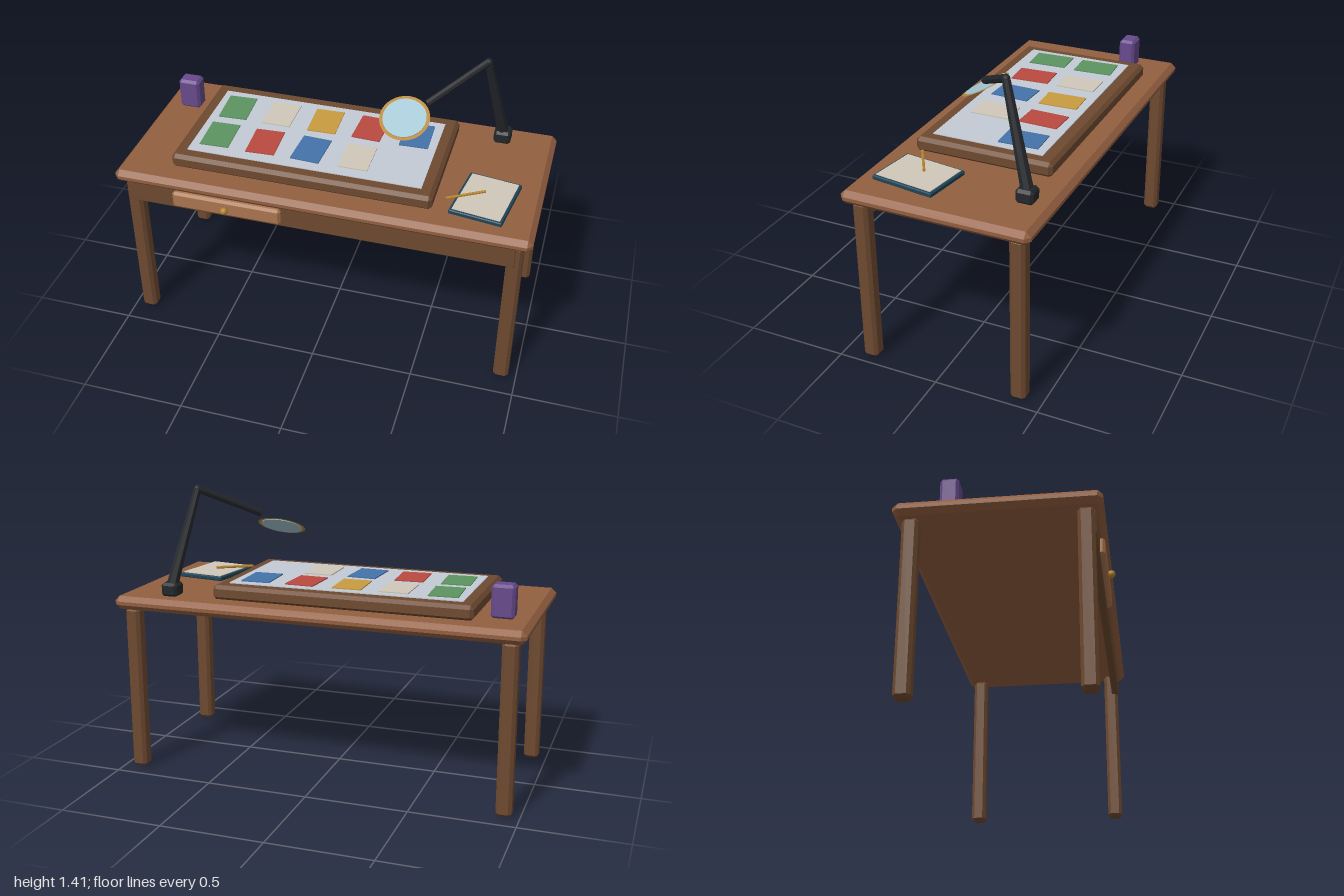
import * as THREE from 'three';
import { ConvexGeometry } from 'three/addons/geometries/ConvexGeometry.js';

const paint = (color, extra = {}) => new THREE.MeshStandardMaterial({ color, ...extra });
const wood = paint(0x935f40), darkWood = paint(0x6e4a30), drawerWood = paint(0xa9754f);
const brass = paint(0xb8862f), black = paint(0x24272b), cream = paint(0xd0c8b8);
const cardPaint = { g: paint(0x5c9460), c: cream, y: paint(0xc99b3f), r: paint(0xbb4a40), b: paint(0x4473ab) };

// Box with all edges chamfered, given by its min and max corners
function chamferBox(min, max, c) {
  const mid = min.map((v, i) => (v + max[i]) / 2);
  const half = min.map((v, i) => (max[i] - v) / 2);
  const points = [];
  for (const sx of [-1, 1]) for (const sy of [-1, 1]) for (const sz of [-1, 1]) {
    const s = [sx, sy, sz];
    for (let full = 0; full < 3; full++) {
      points.push(new THREE.Vector3(...s.map((k, i) => mid[i] + k * (half[i] - (i === full ? 0 : c)))));
    }
  }
  return new ConvexGeometry(points);
}

// Tapered faceted rod between two points
function rod(a, b, r0, r1, sides) {
  const from = new THREE.Vector3(...a), to = new THREE.Vector3(...b);
  const dir = to.clone().sub(from);
  const g = new THREE.CylinderGeometry(r1, r0, dir.length(), sides).toNonIndexed();
  g.computeVertexNormals();
  g.applyQuaternion(new THREE.Quaternion().setFromUnitVectors(new THREE.Vector3(0, 1, 0), dir.normalize()));
  const m = from.add(to).multiplyScalar(0.5);
  return g.translate(m.x, m.y, m.z);
}

export function createModel() {
  const model = new THREE.Group();
  model.name = 'craftDesk';
  const add = (name, geometry, material, parent = model) => {
    const mesh = new THREE.Mesh(geometry, material);
    mesh.name = name;
    parent.add(mesh);
    return mesh;
  };

  // Table
  add('tableTop', chamferBox([-1, 0.82, -0.46], [1, 0.885, 0.44], 0.024), wood);
  for (const x of [-0.925, 0.925]) {
    for (const z of [-0.385, 0.365]) {
      add(`${z > 0 ? 'front' : 'back'}${x > 0 ? 'Left' : 'Right'}Leg`,
        chamferBox([x - 0.037, 0, z - 0.037], [x + 0.037, 0.822, z + 0.037], 0.015), darkWood);
    }
  }
  add('frontApron', chamferBox([-0.93, 0.705, 0.37], [0.93, 0.822, 0.407], 0.006), darkWood);
  add('drawerFront', chamferBox([-0.712, 0.724, 0.39], [-0.17, 0.81, 0.43], 0.012), drawerWood);
  const knob = add('drawerKnob', new THREE.SphereGeometry(0.018, 16, 12), brass);
  knob.position.set(-0.442, 0.766, 0.443);

  // Work board with its pale panel
  add('boardFrame', chamferBox([-0.745, 0.88, -0.355], [0.522, 0.953, 0.325], 0.017), darkWood);
  const panel = add('boardPanel', new THREE.BoxGeometry(1.145, 0.012, 0.55), paint(0xc3cbd4));
  panel.position.set(-0.112, 0.951, -0.012);

  // Cards laid out in two rows
  const cards = new THREE.Group();
  cards.name = 'cards';
  model.add(cards);
  const turns = [0.05, 0, 0.03, -0.04, 0.03, 0.04, 0.05, -0.05, 0];
  [...'gcyrbgrbc'].forEach((key, i) => {
    const card = add('card', new THREE.BoxGeometry(0.142, 0.006, 0.196), cardPaint[key], cards);
    card.position.set(-0.575 + 0.231 * (i % 5), 0.959, i < 5 ? -0.145 : 0.108);
    card.rotation.y = turns[i];
  });

  // Storage box
  add('storageBox', chamferBox([-0.912, 0.882, -0.272], [-0.804, 1.04, -0.188], 0.013), paint(0x684a8c));

  // Magnifier on a jointed arm
  const magnifier = new THREE.Group();
  magnifier.name = 'magnifier';
  model.add(magnifier);
  const elbow = [0.655, 1.388, -0.202];
  add('magnifierBase', chamferBox([0.7, 0.882, -0.38], [0.783, 0.95, -0.295], 0.013), black, magnifier);
  add('lowerArm', rod([0.742, 0.925, -0.34], elbow, 0.03, 0.019, 8), black, magnifier);
  add('upperArm', rod(elbow, [0.418, 1.25, 0.012], 0.018, 0.018, 8), black, magnifier);
  add('elbow', new THREE.IcosahedronGeometry(0.019, 1), black, magnifier).position.set(...elbow);
  const head = new THREE.Group();
  head.name = 'lensHead';
  head.position.set(0.325, 1.184, 0.056);
  head.rotation.x = 0.485;
  magnifier.add(head);
  add('lens', new THREE.CylinderGeometry(0.102, 0.102, 0.006, 40), paint(0xa3c6d3), head);
  const rim = new THREE.RingGeometry(0.1, 0.118, 40).rotateX(-Math.PI / 2);
  add('lensRim', rim, paint(0xb8862f, { side: THREE.DoubleSide }), head);

  // Notebook and pencil
  const notebook = new THREE.Group();
  notebook.name = 'notebook';
  notebook.position.set(0.746, 0.885, 0.182);
  notebook.rotation.y = -0.145;
  model.add(notebook);
  add('notebookCover', chamferBox([-0.126, 0, -0.16], [0.126, 0.022, 0.16], 0.004), paint(0x1d4558), notebook);
  const page = add('notebookPage', new THREE.BoxGeometry(0.228, 0.006, 0.296), cream, notebook);
  page.position.y = 0.022;
  add('pencil', rod([0.575, 0.921, 0.257], [0.74, 0.921, 0.158], 0.007, 0.007, 6), brass);

  return model;
}
